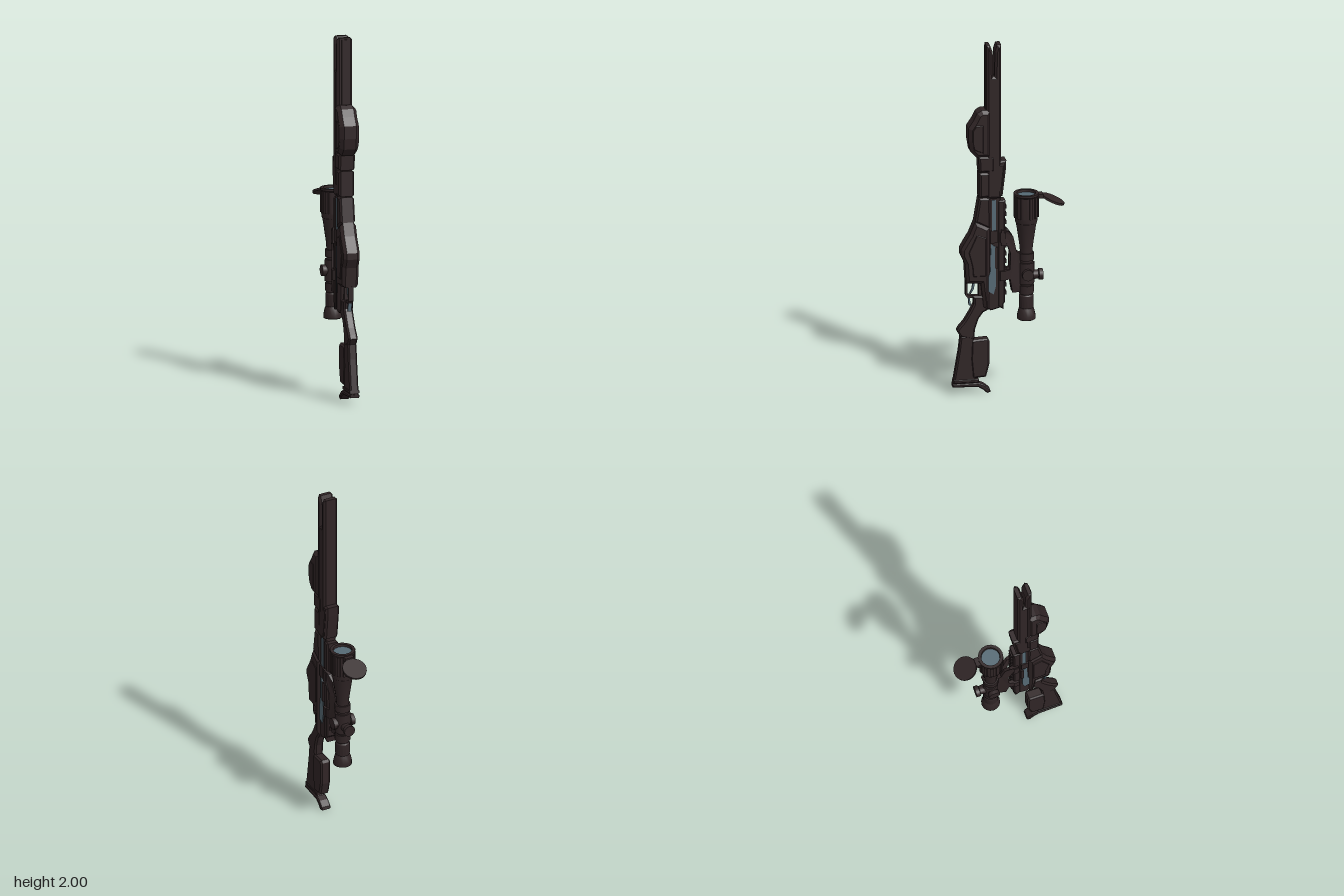
import * as THREE from 'three';
import { toCreasedNormals } from 'three/addons/utils/BufferGeometryUtils.js';

export function createModel() {
  const model = new THREE.Group();
  model.name = 'scopedRifle';
  const dark = new THREE.MeshStandardMaterial({ color: 0x302526 });
  dark.name = 'dark brown';
  const steel = new THREE.MeshStandardMaterial({ color: 0x566a75 });
  steel.name = 'blue grey steel';

  function add(name, geometry, material = dark, x = 0, y = 0, z = 0) {
    const mesh = new THREE.Mesh(geometry, material);
    mesh.name = name;
    mesh.position.set(x, y, z);
    model.add(mesh);
    return mesh;
  }
  // Side profile given as [z, y] points, extruded across x with chamfered edges
  function slabGeometry(points, half, bevel = 0.01, holes = []) {
    const shape = new THREE.Shape(points.map(p => new THREE.Vector2(p[0], p[1])));
    for (const h of holes) shape.holes.push(new THREE.Path(h.map(p => new THREE.Vector2(p[0], p[1]))));
    const depth = 2 * (half - bevel);
    const g = new THREE.ExtrudeGeometry(shape, {
      depth, bevelEnabled: bevel > 0, bevelSize: bevel, bevelOffset: -bevel,
      bevelThickness: bevel, bevelSegments: 1,
    });
    g.translate(0, 0, -depth / 2);
    g.rotateY(-Math.PI / 2);
    return g;
  }
  const slab = (name, points, half, bevel, material, holes) =>
    add(name, slabGeometry(points, half, bevel, holes), material);
  const box = (name, w, h, d, x, y, z, material) =>
    add(name, new THREE.BoxGeometry(w, h, d), material, x, y, z);
  // Turned part standing on the scope axis, profile as [radius, y]
  const SCOPE_Z = -0.1;
  const turned = (name, points, sides = 16, z = SCOPE_Z, material = dark) =>
    add(name, toCreasedNormals(new THREE.LatheGeometry(points.map(p => new THREE.Vector2(p[0], p[1])), sides), 0.5),
      material, 0, 0, z);

  // Barrel with the forked muzzle
  slab('barrel', [[0.043, 1.12], [0.125, 1.12], [0.125, 2], [0.105, 2], [0.09, 1.96], [0.088, 1.82],
    [0.08, 1.82], [0.078, 1.96], [0.066, 2], [0.043, 2]], 0.043, 0.012);
  for (const s of [-1, 1]) box('barrelSideRail', 0.006, 0.62, 0.012, s * 0.043, 1.5, 0.105);
  box('barrelFrontRib', 0.036, 0.36, 0.006, 0, 1.81, 0.126);

  // Fore end
  slab('foreGrip', [[0.1, 1.63], [0.15, 1.63], [0.175, 1.615], [0.195, 1.575], [0.225, 1.53], [0.225, 1.46],
    [0.215, 1.4], [0.18, 1.36], [0.1, 1.36]], 0.054, 0.02);
  slab('foreGripPanel', [[0.145, 1.55], [0.185, 1.55], [0.205, 1.52], [0.205, 1.45], [0.195, 1.41], [0.145, 1.39]], 0.057, 0.004);
  slab('foreEndCollar', [[0.08, 1.365], [0.17, 1.365], [0.165, 1.275], [0.08, 1.275]], 0.046, 0.01);
  slab('handguard', [[0.105, 1.27], [0.165, 1.27], [0.165, 1.13], [0.105, 1.13]], 0.044, 0.01);
  slab('handguardRear', [[0.105, 1.125], [0.165, 1.125], [0.187, 0.99], [0.105, 0.95]], 0.042, 0.01);
  slab('barrelShroud', [[0.085, 1.335], [0.015, 1.335], [0.018, 1.28], [0.036, 1.13], [0.085, 1.13]], 0.04, 0.01);
  slab('shroudPlate', [[0.07, 1.31], [0.03, 1.31], [0.045, 1.16], [0.07, 1.16]], 0.043, 0.003);

  // Receiver
  slab('receiverCore', [[0.045, 1.13], [0.11, 1.13], [0.13, 0.5], [0.1, 0.475], [0.045, 0.49]], 0.03, 0.006);
  slab('lowerBody', [[0.108, 0.95], [0.187, 0.99], [0.215, 0.92], [0.245, 0.87], [0.265, 0.835], [0.265, 0.8],
    [0.242, 0.75], [0.235, 0.64], [0.155, 0.635], [0.14, 0.5], [0.112, 0.48], [0.108, 0.6]], 0.046, 0.016);
  slab('bodyPanel', [[0.13, 0.9], [0.18, 0.92], [0.225, 0.82], [0.205, 0.74], [0.2, 0.68], [0.13, 0.68]], 0.049, 0.004);
  slab('topRail', [[0.02, 1.105], [0.062, 1.105], [0.062, 0.5], [0.03, 0.48], [0.03, 0.51], [0.022, 0.52]], 0.034, 0.007);
  for (let i = 0; i < 12; i++) box('railTooth', 0.04, 0.02, 0.012, 0, 0.57 + i * 0.045, 0.018);
  for (const s of [-1, 1]) {
    // Exposed bolt on both sides
    const bolt = slabGeometry([[0.072, 0.84], [0.1, 0.86], [0.104, 0.7], [0.118, 0.66], [0.118, 0.59], [0.085, 0.57], [0.072, 0.62]], 0.004, 0);
    add('boltPlate', bolt, steel, s * 0.031, 0, 0);
    box('boltRod', 0.006, 0.2, 0.02, s * 0.03, 1.01, 0.083, steel);
    box('boltGuide', 0.008, 0.12, 0.016, s * 0.035, 0.78, 0.07);
    box('receiverLug', 0.01, 0.07, 0.04, s * 0.034, 0.9, 0.085);
  }

  // Trigger and guard
  slab('triggerGuard', [[0.236, 0.645], [0.15, 0.645], [0.15, 0.55], [0.225, 0.55], [0.236, 0.565]], 0.014, 0,
    dark, [[[0.226, 0.637], [0.226, 0.568], [0.165, 0.558], [0.165, 0.637]]]);
  slab('trigger', [[0.186, 0.64], [0.196, 0.64], [0.2, 0.6], [0.213, 0.572], [0.206, 0.572], [0.188, 0.6]], 0.007, 0, steel);
  slab('guardSpur', [[0.215, 0.56], [0.222, 0.56], [0.217, 0.505], [0.205, 0.505]], 0.01, 0, steel);

  // Grip and stock
  slab('grip', [[0.11, 0.48], [0.14, 0.56], [0.195, 0.56], [0.192, 0.515], [0.215, 0.47], [0.245, 0.42], [0.275, 0.385],
    [0.285, 0.365], [0.265, 0.33], [0.19, 0.31], [0.185, 0.37], [0.165, 0.43], [0.14, 0.465]], 0.026, 0.009);
  slab('stock', [[0.19, 0.335], [0.265, 0.335], [0.275, 0.25], [0.305, 0.07], [0.305, 0.06], [0.165, 0.06], [0.185, 0.1]], 0.025, 0.008);
  slab('cheekRest', [[0.205, 0.31], [0.115, 0.315], [0.106, 0.3], [0.106, 0.17], [0.125, 0.095], [0.2, 0.09], [0.21, 0.2]], 0.029, 0.009);
  slab('stockBand', [[0.165, 0.085], [0.302, 0.085], [0.305, 0.068], [0.165, 0.068]], 0.028, 0.003);
  slab('buttPlate', [[0.308, 0.062], [0.308, 0.044], [0.17, 0.04], [0.14, 0.022], [0.12, 0.002], [0.1, 0.008],
    [0.104, 0.025], [0.135, 0.05], [0.165, 0.062]], 0.028, 0.005);

  // Scope tube, bell and eyepiece
  turned('scopeTube', [[0.034, 0.55], [0.04, 0.56], [0.04, 0.59], [0.034, 0.6], [0.034, 0.79], [0.037, 0.83],
    [0.053, 0.94], [0.058, 0.965]]);
  turned('eyepiece', [[0.04, 0.42], [0.045, 0.408], [0.051, 0.412], [0.051, 0.43], [0.043, 0.465], [0.038, 0.475], [0.04, 0.48], [0.04, 0.545], [0.034, 0.555]]);
  turned('objectiveBell', [[0.05, 0.955], [0.06, 0.965], [0.064, 1.0], [0.064, 1.115], [0.069, 1.12], [0.069, 1.132],
    [0.052, 1.132], [0.05, 1.11]]);
  add('frontLens', new THREE.CylinderGeometry(0.051, 0.051, 0.006, 12), steel, 0, 1.115, SCOPE_Z);
  add('rearLens', new THREE.CylinderGeometry(0.042, 0.042, 0.006, 12), steel, 0, 0.418, SCOPE_Z);
  for (let i = 0; i < 12; i++) {
    const a = (i + 0.5) * Math.PI / 6;
    const rib = box('bellRib', 0.018, 0.12, 0.01, Math.sin(a) * 0.064, 1.055, SCOPE_Z + Math.cos(a) * 0.064);
    rib.rotation.y = a;
  }
  // Mount rings
  for (const y of [0.585, 0.77])
    add('mountRing', new THREE.CylinderGeometry(0.043, 0.043, 0.04, 12), dark, 0, y, SCOPE_Z);

  // Turret block with one rear and two side knobs
  add('turretBlock', new THREE.CylinderGeometry(0.045, 0.045, 0.12, 8), dark, 0, 0.675, SCOPE_Z);
  function knob(name, dir, y) {
    const base = add(name + 'Base', new THREE.CylinderGeometry(0.024, 0.027, 0.03, 12), dark,
      dir.x * 0.04, y, SCOPE_Z + dir.z * 0.05);
    const cap = add(name, new THREE.CylinderGeometry(0.032, 0.032, 0.022, 12), dark,
      dir.x * 0.053, y, SCOPE_Z + dir.z * 0.079);
    for (const m of [base, cap]) m.quaternion.setFromUnitVectors(new THREE.Vector3(0, 1, 0), dir);
  }
  knob('rearTurret', new THREE.Vector3(0, 0, -1), 0.66);
  knob('leftTurret', new THREE.Vector3(1, 0, 0), 0.675);
  knob('rightTurret', new THREE.Vector3(-1, 0, 0), 0.675);

  // Splayed scope mount legs
  for (const s of [-1, 1]) {
    const leg = slabGeometry([[0.045, 0.94], [0.0, 0.925], [-0.025, 0.89], [-0.045, 0.8], [-0.065, 0.79], [-0.065, 0.57], [-0.02, 0.57],
      [-0.006, 0.65], [0.045, 0.65], [0.045, 0.7], [-0.005, 0.705], [-0.008, 0.8], [0.01, 0.845], [0.045, 0.85]], 0.009, 0);
    const p = leg.attributes.position;
    for (let i = 0; i < p.count; i++) {
      const t = THREE.MathUtils.clamp((p.getZ(i) + 0.04) / 0.055, 0, 1);
      p.setX(i, p.getX(i) + s * (0.009 + 0.027 * t));
    }
    leg.computeVertexNormals();
    add('mountLeg', leg);
    for (const y of [0.675, 0.895]) box('mountClamp', 0.014, 0.055, 0.03, s * 0.038, y, 0.035);
  }

  // Open flip-up lens cap and hinge
  const cap = add('lensCap', new THREE.CylinderGeometry(0.067, 0.067, 0.012, 24), dark, 0, 1.085, -0.247);
  cap.rotation.x = -0.42;
  box('capHinge', 0.05, 0.024, 0.03, 0, 1.113, -0.175);

  return model;
}
